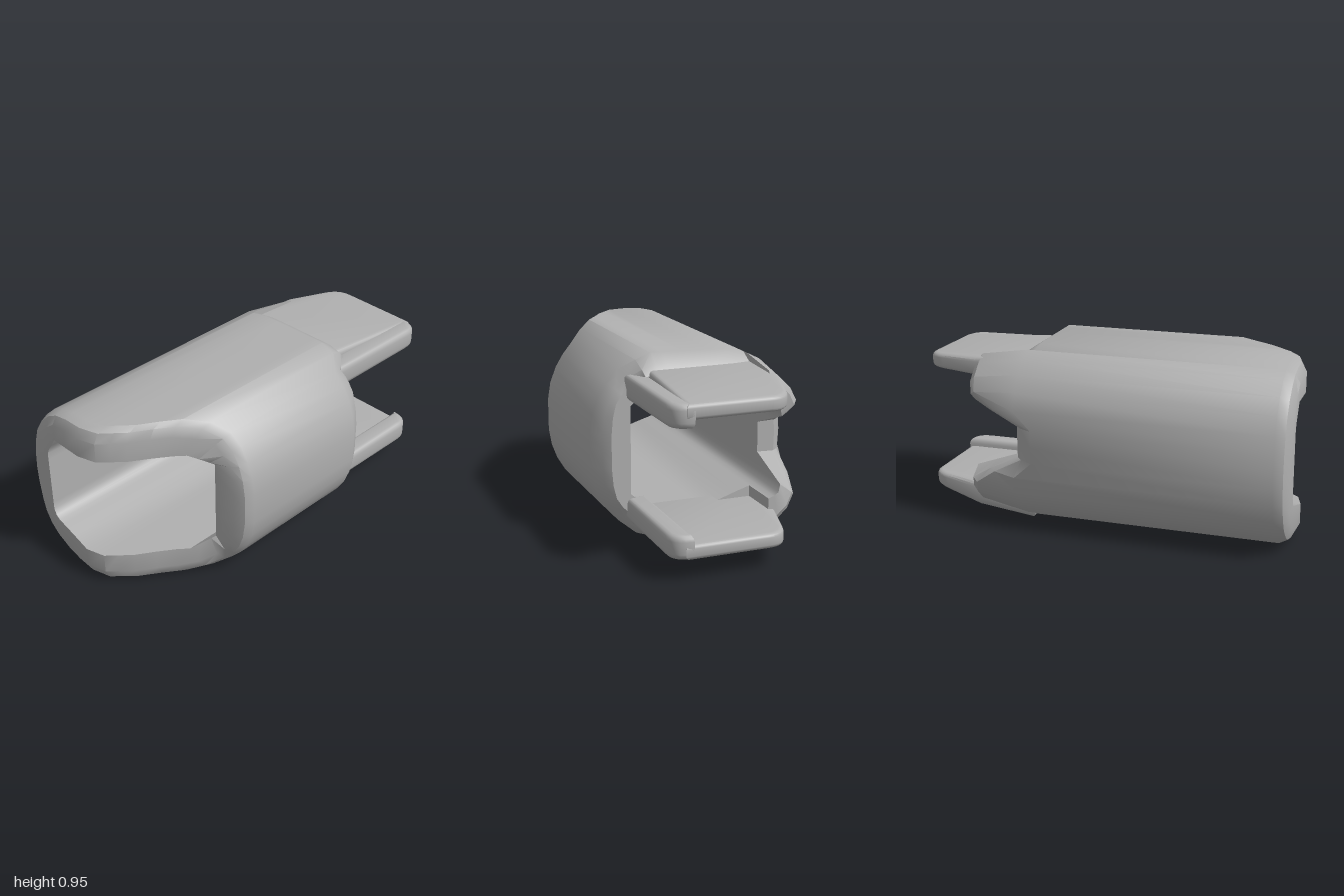
import * as THREE from 'three';
import { toCreasedNormals } from 'three/addons/utils/BufferGeometryUtils.js';

const H = 0.95;
const { lerp, clamp } = THREE.MathUtils;

// Upper half of the sleeve section, +x round to -x: outer x, y, inner x, y
const upper = [
  [0.52, 0.475, 0.34, 0.475], [0.52, 0.56, 0.34, 0.56], [0.505, 0.65, 0.34, 0.65],
  [0.475, 0.73, 0.34, 0.7], [0.43, 0.805, 0.325, 0.713], [0.375, 0.865, 0.295, 0.74],
  [0.3, 0.922, 0.262, 0.768], [0.22, 0.95, 0.22, 0.768], [0.16, 0.949, 0.16, 0.768],
  [0.1, 0.947, 0.1, 0.768], [0.05, 0.946, 0.05, 0.768], [0, 0.945, 0, 0.768],
  [-0.1, 0.943, -0.1, 0.768], [-0.2, 0.938, -0.2, 0.768], [-0.28, 0.92, -0.28, 0.768],
  [-0.28, 0.92, -0.28, 0.768], [-0.35, 0.885, -0.31, 0.72], [-0.42, 0.82, -0.335, 0.685],
  [-0.47, 0.74, -0.35, 0.65], [-0.5, 0.65, -0.35, 0.61], [-0.515, 0.56, -0.35, 0.555],
  [-0.52, 0.475, -0.35, 0.475],
];
const FIRST_PRONG = 15;

// Slanted front rim: z as a function of x
const rim = [[-0.6, 1], [-0.07, 1], [0, 0.97], [0.1, 0.86], [0.2, 0.7], [0.26, 0.63], [0.34, 0.52], [0.42, 0.5], [0.6, 0.5]];
function frontZ(x) {
  const k = rim.findIndex((p) => p[0] >= x);
  if (k < 1) return 1;
  const [a, b] = [rim[k - 1], rim[k]];
  return lerp(a[1], b[1], (x - a[0]) / (b[0] - a[0]));
}

// Back end: prongs with a V notch on the -x side, plain rim elsewhere
function backZ(prong, ox, iy) {
  if (prong) return -0.4 - 0.28 * clamp((Math.abs(iy - H / 2) - 0.08) / 0.1, 0, 1);
  return ox > 0.36 ? -0.4 : -0.46;
}

function sleeveGeometry() {
  const columns = upper.map(([ox, oy, ix, iy], i) => ({ ox, oy, ix, iy, zb: backZ(i >= FIRST_PRONG, ox, iy) }));
  // The lower half mirrors the upper, with a shallow ramp inside on the -x side
  for (let i = upper.length - 2; i > 0; i--) {
    const c = columns[i];
    const ramp = 0.185 + 0.3 * Math.max(0, -0.1 - c.ix);
    const iy = c.ix < -0.1 ? Math.max(H - c.iy, ramp) : H - c.iy;
    columns.push({ ...c, oy: H - c.oy, iy });
  }
  // Each column is a closed loop through the wall: back, outside, front, inside
  const pos = [];
  for (const { ox, oy, ix, iy, zb } of columns) {
    const put = (t, z) => {
      const x = lerp(ox, ix, t);
      pos.push(x, lerp(oy, iy, t), z === null ? 0 : z(x));
    };
    put(0, () => Math.max(zb + 0.1, -0.4));
    put(0, (x) => frontZ(x) - 0.07);
    put(0.12, (x) => frontZ(x) - 0.025);
    put(0.4, frontZ);
    put(1, frontZ);
    put(1, () => zb);
    put(0.45, () => zb);
    put(0.25, () => zb + 0.03);
  }
  const rows = 8, n = columns.length, index = [];
  for (let j = 0; j < n; j++) {
    for (let i = 0; i < rows; i++) {
      const a = j * rows + i, b = ((j + 1) % n) * rows + i;
      const i1 = (i + 1) % rows;
      const c = ((j + 1) % n) * rows + i1, d = j * rows + i1;
      index.push(a, b, c, a, c, d);
    }
  }
  const g = new THREE.BufferGeometry();
  g.setAttribute('position', new THREE.Float32BufferAttribute(pos, 3));
  g.setIndex(index);
  return toCreasedNormals(g, 0.6);
}

// Slab from an (x, -z) outline; low and high give [root, tip] heights of its faces
function slabGeometry(shape, low, high) {
  const bevel = 0.025, depth = 0.05;
  const g = new THREE.ExtrudeGeometry(shape, {
    depth, bevelThickness: bevel, bevelSize: bevel, bevelOffset: -bevel, bevelSegments: 3, curveSegments: 6,
  });
  g.rotateX(-Math.PI / 2);
  const p = g.attributes.position;
  for (let i = 0; i < p.count; i++) {
    const h = (p.getY(i) + bevel) / (depth + 2 * bevel);
    const t = clamp((-p.getZ(i) - 0.45) / 0.55, 0, 1);
    p.setY(i, lerp(lerp(low[0], low[1], t), lerp(high[0], high[1], t), h));
  }
  g.deleteAttribute('normal');
  return toCreasedNormals(g, 0.6);
}

export function createModel() {
  const grey = new THREE.MeshStandardMaterial({ color: 0xb0b0b0 });
  grey.name = 'grey';
  const model = new THREE.Group();
  const add = (name, geometry) => {
    const mesh = new THREE.Mesh(geometry, grey);
    mesh.name = name;
    model.add(mesh);
  };

  add('sleeve', sleeveGeometry());

  // Tab outline with a slanted -x edge
  const tab = new THREE.Shape();
  tab.moveTo(-0.32, 0.36);
  tab.lineTo(0.26, 0.36);
  tab.lineTo(0.29, 1);
  tab.lineTo(-0.13, 1);
  tab.quadraticCurveTo(-0.22, 1, -0.25, 0.9);
  tab.lineTo(-0.32, 0.68);
  tab.closePath();

  // Thicker rail along the +x edge of each tab
  const rail = new THREE.Shape();
  rail.moveTo(0.25, 0.36);
  rail.lineTo(0.36, 0.36);
  rail.lineTo(0.36, 0.9);
  rail.quadraticCurveTo(0.36, 1, 0.26, 1);
  rail.lineTo(0.25, 1);
  rail.closePath();

  add('upperTab', slabGeometry(tab, [0.77, 0.77], [0.885, 0.845]));
  add('upperRail', slabGeometry(rail, [0.73, 0.73], [0.855, 0.845]));
  add('lowerTab', slabGeometry(tab, [0.02, 0.11], [0.183, 0.183]));
  add('lowerRail', slabGeometry(rail, [0.11, 0.11], [0.228, 0.228]));
  return model;
}
